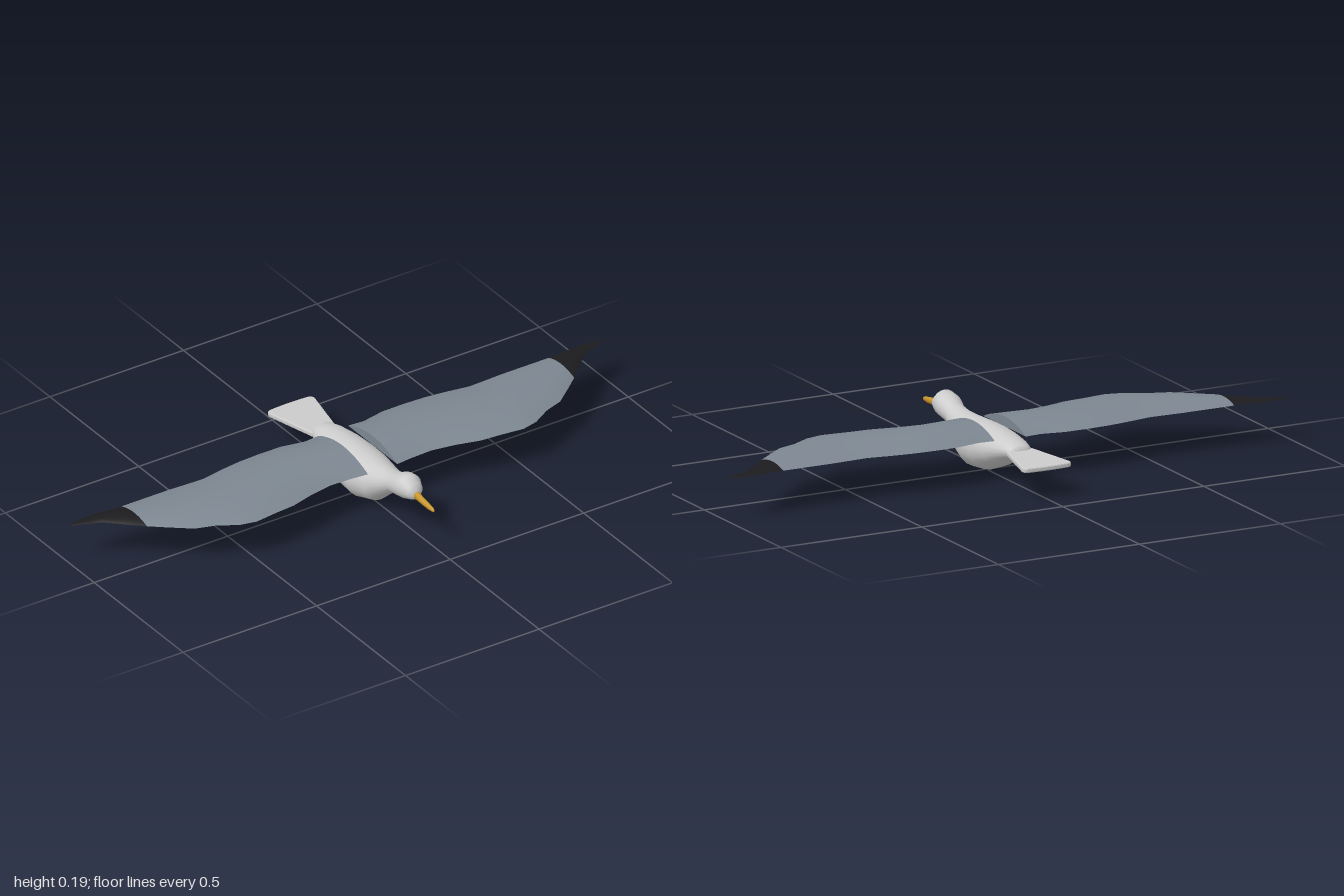
import * as THREE from 'three';

const mat = (color) => new THREE.MeshStandardMaterial({ color, side: THREE.DoubleSide });

// Skin a grid of points; the outside is on the side of (row direction x column direction)
function skin(name, rows, material, closed = false) {
  const n = rows[0].length, pos = rows.flat(2), index = [];
  for (let i = 0; i < rows.length - 1; i++) {
    for (let j = 0; j < (closed ? n : n - 1); j++) {
      const k = (j + 1) % n;
      const a = i * n + j, b = i * n + k, c = a + n, d = b + n;
      index.push(a, c, b, b, c, d);
    }
  }
  const geo = new THREE.BufferGeometry();
  geo.setAttribute('position', new THREE.Float32BufferAttribute(pos, 3));
  geo.setIndex(index);
  geo.computeVertexNormals();
  const mesh = new THREE.Mesh(geo, material);
  mesh.name = name;
  return mesh;
}

// Oval cross-sections [z, top, bottom, half width], listed front to back
function ovalLoft(name, sections, sides, material) {
  const first = sections[0], last = sections[sections.length - 1];
  const point = ([z, t, b]) => [z, (t + b) / 2, (t + b) / 2, 0];
  const rows = [point(first), ...sections, point(last)].map(([z, t, b, w]) =>
    Array.from({ length: sides }, (_, j) => {
      const a = (j / sides) * Math.PI * 2;
      return [-Math.sin(a) * w, (t + b) / 2 + Math.cos(a) * (t - b) / 2, z];
    }));
  return skin(name, rows, material, true);
}

// Wing plan: [x, leading edge z, trailing edge z]
const WING = [
  [0.055, 0.12, -0.157], [0.11, 0.114, -0.152], [0.19, 0.111, -0.168], [0.27, 0.125, -0.169],
  [0.35, 0.147, -0.165], [0.42, 0.153, -0.156], [0.5, 0.163, -0.142], [0.555, 0.15, -0.144],
  [0.62, 0.112, -0.147], [0.685, 0.09, -0.147], [0.755, 0.034, -0.147], [0.8, -0.004, -0.147],
  [0.85, -0.05, -0.15], [0.9, -0.098, -0.155], [0.94, -0.115, -0.155], [1.0, -0.14, -0.144],
];
const WING_Y = 0.137, CHORD = 14;

function makeWing(side, mats) {
  const wing = new THREE.Group();
  wing.name = side > 0 ? 'leftWing' : 'rightWing';
  // one chord line from front to back, cambered on top and flat below
  const chord = ([x, front, back], camber) => Array.from({ length: CHORD + 1 }, (_, j) => {
    const u = j / CHORD, arch = 1 - (2 * u - 1) ** 2;
    const h = 0.031 * (1 - x * x) + 0.002;
    return [side * x, WING_Y + camber * h * arch, front + (back - front) * u];
  });
  const add = (name, rows, material, reverse) => {
    if (reverse !== side < 0) rows.forEach((r) => r.reverse());
    wing.add(skin(name, rows, material));
  };
  const inner = WING.filter((s) => s[0] <= 0.8), outer = WING.filter((s) => s[0] >= 0.8);
  add('wingTop', inner.map((s) => chord(s, 1)), mats.wing, false);
  add('wingUnderside', inner.map((s) => chord(s, 0)), mats.under, true);
  add('wingTipTop', outer.map((s) => chord(s, 1)), mats.tip, false);
  add('wingTipUnderside', outer.map((s) => chord(s, 0)), mats.tip, true);
  add('wingRoot', [chord(WING[0], 1), chord(WING[0], 0)], mats.wing, true);
  return wing;
}

function makeTail(material) {
  // fan shape with rounded rear corners, y pointing backwards
  const s = new THREE.Shape();
  s.moveTo(-0.034, 0);
  s.lineTo(0.034, 0);
  s.lineTo(0.081, 0.205);
  s.quadraticCurveTo(0.083, 0.219, 0.07, 0.221);
  s.quadraticCurveTo(0, 0.227, -0.07, 0.221);
  s.quadraticCurveTo(-0.083, 0.219, -0.081, 0.205);
  const geo = new THREE.ExtrudeGeometry(s, {
    depth: 0.008, bevelThickness: 0.004, bevelSize: 0.004, bevelSegments: 2, curveSegments: 6,
  });
  geo.rotateX(-Math.PI / 2);
  const tail = new THREE.Mesh(geo, material);
  tail.name = 'tail';
  tail.position.set(0, 0.106, -0.182);
  tail.rotation.x = -0.03;
  return tail;
}

export function createModel() {
  const bird = new THREE.Group();
  bird.name = 'seabird';
  const plumage = mat(0xcccccc);
  const mats = { wing: mat(0x7d8791), under: mat(0x585858), tip: mat(0x1c1c1e) };

  // head, neck and body in one smooth form
  bird.add(ovalLoft('body', [
    [0.312, 0.155, 0.126, 0.014], [0.3, 0.175, 0.12, 0.03], [0.272, 0.193, 0.11, 0.042],
    [0.24, 0.187, 0.105, 0.045], [0.2, 0.166, 0.095, 0.037], [0.16, 0.157, 0.067, 0.046],
    [0.11, 0.155, 0.022, 0.064], [0.04, 0.156, 0.001, 0.08], [-0.035, 0.156, 0.009, 0.08],
    [-0.11, 0.152, 0.037, 0.071], [-0.18, 0.143, 0.072, 0.054], [-0.222, 0.133, 0.09, 0.04],
    [-0.232, 0.122, 0.097, 0.027],
  ], 20, plumage));

  // bill with a red spot near the tip of the lower half
  bird.add(ovalLoft('bill', [
    [0.409, 0.135, 0.127, 0.003], [0.4, 0.14, 0.125, 0.006], [0.36, 0.146, 0.124, 0.009],
    [0.3, 0.154, 0.128, 0.012],
  ], 10, mat(0xc8962a)));
  const spot = new THREE.Mesh(new THREE.SphereGeometry(1, 10, 8), mat(0xb04020));
  spot.name = 'billSpot';
  spot.scale.set(0.006, 0.003, 0.011);
  spot.position.set(0, 0.126, 0.378);
  bird.add(spot);

  bird.add(makeTail(plumage));
  for (const side of [1, -1]) bird.add(makeWing(side, mats));
  return bird;
}
